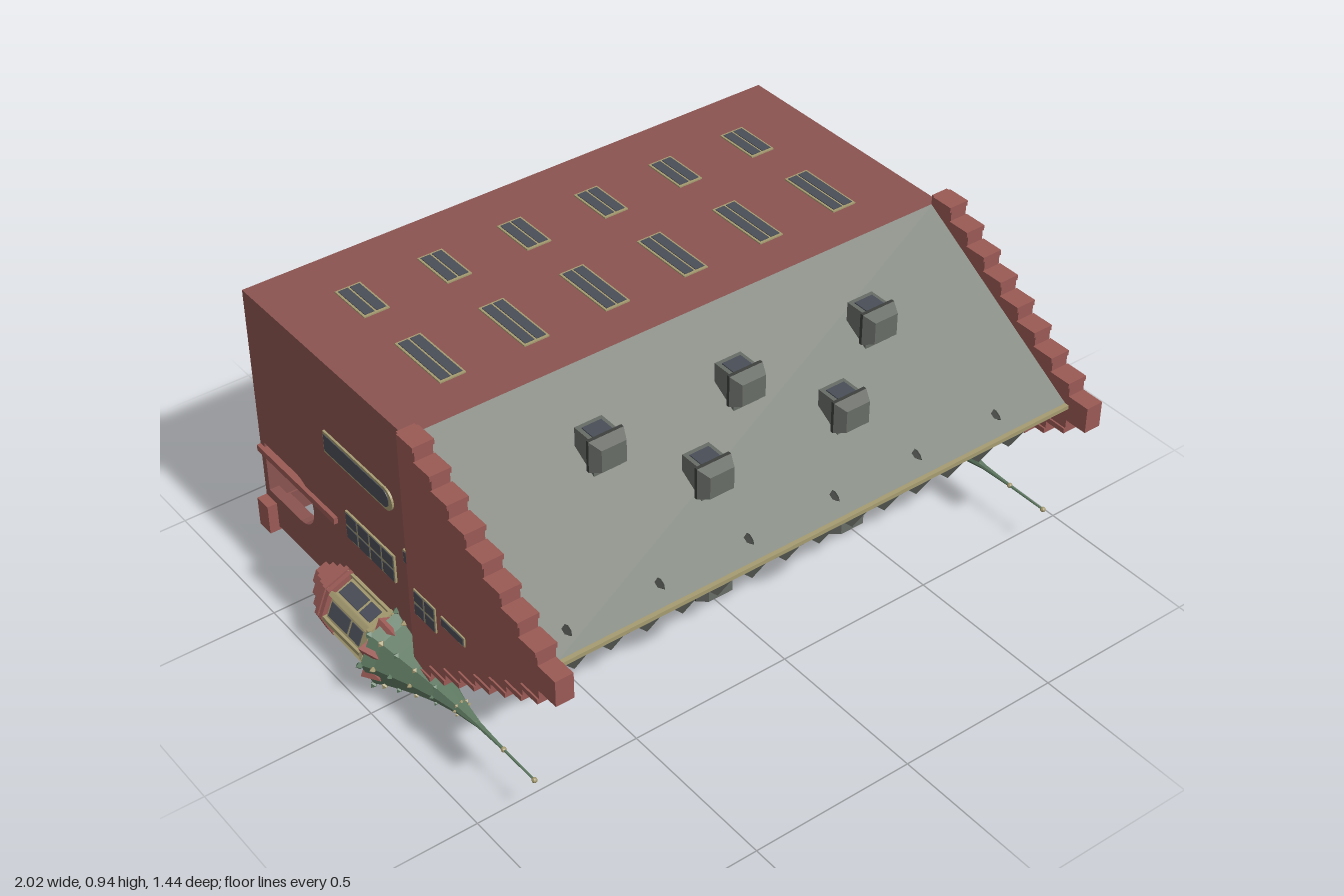
import * as THREE from 'three';

const mat = (color, flat = true) => new THREE.MeshStandardMaterial({ color, flatShading: flat, side: THREE.DoubleSide });
const BRICK = mat(0x8a5450), TRIM = mat(0x9a5a55), ROOF = mat(0x767c72), DARK = mat(0x3d403c);
const TAN = mat(0xa59a70), GLASS = mat(0x4a4e58), COPPER = mat(0x5f7a62);
const DORMER = mat(0x686c66);

function add(parent, name, geo, m) {
  const mesh = new THREE.Mesh(geo, m);
  mesh.name = name;
  parent.add(mesh);
  return mesh;
}
function box(parent, name, m, x0, x1, y0, y1, z0, z1) {
  const mesh = add(parent, name, new THREE.BoxGeometry(Math.abs(x1 - x0), Math.abs(y1 - y0), Math.abs(z1 - z0)), m);
  mesh.position.set((x0 + x1) / 2, (y0 + y1) / 2, (z0 + z1) / 2);
  return mesh;
}
// Extrude a [z, y] outline along x, from x0 to x1
function prism(parent, name, m, pts, x0, x1, holes = []) {
  const shape = new THREE.Shape(pts.map(([z, y]) => new THREE.Vector2(-z, y)));
  holes.forEach(h => shape.holes.push(new THREE.Path(h.map(([z, y]) => new THREE.Vector2(-z, y)))));
  const geo = new THREE.ExtrudeGeometry(shape, { depth: x1 - x0, bevelEnabled: false });
  geo.rotateY(Math.PI / 2).translate(x0, 0, 0);
  return add(parent, name, geo, m);
}
const rect = (z0, z1, y0, y1) => [[z0, y0], [z1, y0], [z1, y1], [z0, y1]];
// Rectangle whose +z end is a half ellipse
function arched(z0, zs, zt, y0, y1) {
  const pts = [[z0, y0]];
  for (let i = 0; i <= 12; i++) {
    const a = -Math.PI / 2 + Math.PI * i / 12;
    pts.push([zs + (zt - zs) * Math.cos(a), (y0 + y1) / 2 + (y1 - y0) / 2 * Math.sin(a)]);
  }
  return [...pts, [z0, y1]];
}

// Framed window lying in an xz wall, around height y
function wallWindow(parent, x, y, z0, z1, w) {
  const g = new THREE.Group();
  g.name = 'wallWindow';
  box(g, 'frame', TAN, x - w / 2, x + w / 2, y - 0.012, y + 0.004, z0, z1);
  for (const s of [-1, 1]) {
    const c = x + s * w * 0.23;
    box(g, 'pane', GLASS, c - w * 0.19, c + w * 0.19, y - 0.016, y + 0.006, z0 + 0.007, z1 - 0.007);
  }
  parent.add(g);
}
// Framed window on the end wall, split into columns and rows
function endWindow(parent, z0, z1, y0, y1, cols, rows, x = 0.87) {
  box(parent, 'endWindowFrame', TAN, x - 0.035, x + 0.006, y0, y1, z0, z1);
  const dz = (z1 - z0) / cols, dy = (y1 - y0) / rows, e = 0.004;
  for (let i = 0; i < cols; i++) for (let j = 0; j < rows; j++)
    box(parent, 'endWindowPane', GLASS, x - 0.037, x + 0.008, y0 + j * dy + e, y0 + (j + 1) * dy - e, z0 + i * dz + e, z0 + (i + 1) * dz - e);
}

function dormer(x, y, z) {
  const g = new THREE.Group();
  g.name = 'dormer';
  box(g, 'dormerBody', DORMER, -0.042, 0.042, -0.11, 0, 0, 0.08);
  box(g, 'dormerWindow', GLASS, -0.03, 0.03, -0.02, 0.003, 0.015, 0.065);
  box(g, 'dormerEaves', DARK, -0.054, 0.054, -0.09, 0.006, 0.066, 0.076);
  const hip = new THREE.CylinderGeometry(0.5, 0.707, 0.034, 4).rotateY(Math.PI / 4).rotateX(Math.PI / 2);
  const cap = add(g, 'dormerRoof', hip, DORMER);
  cap.scale.set(0.108, 0.095, 1);
  cap.position.set(0, -0.042, 0.093);
  g.position.set(x, y, z);
  return g;
}

function buildTurret() {
  const g = new THREE.Group();
  g.name = 'cornerTurret';
  const lathe = (name, m, pts, n) =>
    add(g, name, new THREE.LatheGeometry(pts.map(p => new THREE.Vector2(...p)), n).rotateX(Math.PI / 2), m);
  lathe('turretCorbel', TRIM, [[0, -0.41], [0.045, -0.41], [0.045, -0.37], [0.07, -0.37], [0.07, -0.33], [0.092, -0.33], [0.092, -0.28], [0, -0.28]], 8);
  lathe('turretBody', BRICK, [[0.085, -0.3], [0.09, -0.28], [0.09, -0.06], [0, -0.05]], 8);
  for (const z of [-0.29, -0.27, -0.07, -0.05])
    lathe('turretBand', z < -0.1 ? TRIM : TAN, [[0.085, z - 0.007], [0.108, z - 0.007], [0.108, z + 0.007], [0.085, z + 0.007]], 8);
  // Spire
  const spire = [[0.122, -0.045], [0.103, -0.01], [0.083, 0.04], [0.06, 0.1], [0.038, 0.17], [0.02, 0.25], [0.008, 0.33], [0.004, 0.44], [0.003, 0.57]];
  lathe('spire', COPPER, spire, 8);
  for (const [r, z] of [[0.009, 0.32], [0.008, 0.44], [0.008, 0.575]])
    add(g, 'finial', new THREE.SphereGeometry(r, 8, 6), TAN).position.z = z;
  for (let i = 0; i < 8; i++) {
    const a = (i + 0.5) * Math.PI / 4, side = new THREE.Group();
    side.name = 'turretSide';
    // Tall window on each side, with a gable above
    box(side, 'turretFrame', TAN, -0.03, 0.03, 0.075, 0.091, -0.255, -0.085);
    box(side, 'turretPane', GLASS, -0.022, 0.022, 0.075, 0.094, -0.247, -0.155);
    box(side, 'turretPane', GLASS, -0.022, 0.022, 0.075, 0.094, -0.145, -0.095);
    const gable = add(side, 'turretGable', new THREE.ConeGeometry(0.028, 0.06, 4).rotateX(Math.PI / 2), TRIM);
    gable.position.set(0, 0.1, -0.025);
    side.rotation.z = a;
    g.add(side);
    // Ribs and leaf-like knobs up the spire edges
    const rib = new THREE.Group();
    rib.name = 'spireRib';
    box(rib, 'turretPost', TAN, -0.007, 0.007, 0.086, 0.104, -0.28, -0.06);
    for (let k = 0; k < 6; k++) {
      const knob = add(rib, 'spireKnob', new THREE.OctahedronGeometry(0.012 - k * 0.0012), k % 2 ? TAN : COPPER);
      knob.position.set(0, spire[k][0] + 0.002, spire[k][1]);
    }
    rib.rotation.z = i * Math.PI / 4;
    g.add(rib);
  }
  return g;
}

// One end of the building at +x
function buildEnd() {
  const g = new THREE.Group();
  g.name = 'buildingEnd';
  prism(g, 'endWall', BRICK, rect(-0.72, 0.07, 0.13, 0.9), 0.84, 0.87, [arched(-0.698, -0.53, -0.45, 0.24, 0.405)]);
  // Stepped gable
  const n = 8, dz = 0.57 / n, dy = 0.345 / n, top = [[0.07, 0.93]], low = [[0.07, 0.16]];
  for (let i = 0; i <= n; i++) {
    const z = 0.15 + i * dz, hi = 0.93 - i * dy, lo = 0.16 + i * dy;
    top.push([z, hi], [z, hi - dy]);
    low.push([z, lo], [z, lo + dy]);
    if (i < n) {
      box(g, 'gableStepCap', TRIM, 0.838, 0.902, hi - 0.016, hi, z - dz, z);
      box(g, 'gableStepCap', TRIM, 0.838, 0.902, lo, lo + 0.016, z - dz, z);
    }
  }
  top.pop(); low.pop();
  prism(g, 'steppedGable', TRIM, [...top, ...low.reverse()], 0.843, 0.897);
  // End windows
  prism(g, 'archedWindowFrame', TAN, arched(-0.345, -0.05, -0.015, 0.598, 0.668), 0.835, 0.876);
  prism(g, 'archedWindowPane', GLASS, arched(-0.34, -0.055, -0.03, 0.606, 0.66), 0.833, 0.878);
  endWindow(g, 0.02, 0.058, 0.47, 0.512, 1, 1);
  endWindow(g, -0.265, -0.03, 0.362, 0.452, 4, 2);
  endWindow(g, 0.1, 0.198, 0.365, 0.447, 2, 2, 0.895);
  endWindow(g, 0.225, 0.33, 0.413, 0.443, 1, 1, 0.895);
  box(g, 'stringCourse', TRIM, 0.86, 0.882, 0.37, 0.39, -0.72, -0.32);
  box(g, 'cornerFoot', TRIM, 0.84, 0.9, 0.118, 0.212, -0.72, -0.665);
  const t = buildTurret();
  t.position.set(0.872, 0.13, 0);
  g.add(t);
  return g;
}

export function createModel() {
  const model = new THREE.Group();
  model.name = 'gabledHall';
  const right = buildEnd(), left = buildEnd();
  left.scale.x = -1;
  model.add(right, left);

  // Long walls and the ground slab
  box(model, 'longWall', BRICK, -0.868, 0.868, 0.875, 0.9, -0.72, 0.07);
  box(model, 'arcadeSideWall', BRICK, -0.85, 0.85, 0.17, 0.195, -0.42, 0.07);
  box(model, 'groundSlab', BRICK, -0.868, 0.868, 0.13, 0.41, -0.72, -0.7);
  const shelf = add(model, 'innerWall', new THREE.PlaneGeometry(1.68, 0.77).rotateX(-Math.PI / 2),
    new THREE.MeshStandardMaterial({ color: 0x8a5450 }));
  shelf.position.set(0, 0.36, -0.315);
  for (let i = 0; i < 6; i++) {
    const x = -0.645 + i * 0.257;
    wallWindow(model, x, 0.9, -0.56, -0.415, 0.078);
    wallWindow(model, x, 0.9, -0.27, -0.06, 0.078);
    box(model, 'innerWindow', GLASS, x - 0.04, x + 0.04, 0.361, 0.366, -0.55, -0.42);
    box(model, 'arcadeSideWindow', TAN, x - 0.045, x + 0.045, 0.164, 0.2, -0.23, -0.03);
    box(model, 'arcadeSidePane', GLASS, x - 0.035, x + 0.035, 0.16, 0.203, -0.22, -0.04);
  }

  // Arcade of four arches with curved trims
  const wall = new THREE.Shape([[-0.868, -0.7], [0.868, -0.7], [0.868, -0.4], [-0.868, -0.4]].map(p => new THREE.Vector2(...p)));
  for (const x of [-0.64, -0.215, 0.215, 0.64]) {
    const hole = new THREE.Path(), pts = [];
    hole.moveTo(x - 0.17, -0.695).lineTo(x + 0.17, -0.695).lineTo(x + 0.17, -0.57);
    for (let i = 0; i <= 14; i++) {
      const a = Math.PI * i / 14, u = x + 0.17 * Math.cos(a), v = -0.57 + 0.13 * Math.sin(a);
      if (i) hole.lineTo(u, v);
      pts.push(new THREE.Vector3(u, 0.128, v));
    }
    wall.holes.push(hole);
    add(model, 'archTrim', new THREE.TubeGeometry(new THREE.CatmullRomCurve3(pts), 20, 0.011, 5), TAN);
  }
  const arcade = new THREE.ExtrudeGeometry(wall, { depth: 0.07, bevelEnabled: false }).rotateX(Math.PI / 2);
  add(model, 'arcade', arcade, BRICK).position.y = 0.2;
  for (const x of [-0.43, 0, 0.43]) {
    box(model, 'pierFoot', TRIM, x - 0.035, x + 0.035, 0.1, 0.2, -0.72, -0.665);
    box(model, 'pier', BRICK, x - 0.025, x + 0.025, 0.115, 0.19, -0.67, -0.4);
  }

  // Balcony with brackets
  box(model, 'balconyFloor', BRICK, -0.715, 0.715, 0.07, 0.18, -0.4, -0.375);
  box(model, 'balconyParapet', BRICK, -0.715, 0.715, 0.07, 0.085, -0.4, -0.29);
  for (let i = 0; i < 9; i++) {
    const x = -0.68 + i * 0.17;
    prism(model, 'balconyBracket', TRIM, [[-0.4, 0.08], [-0.4, 0.14], [-0.45, 0.14]], x - 0.015, x + 0.015);
  }

  // Roof slopes, ridge and eaves
  prism(model, 'plainRoof', ROOF, [[0.07, 0.9], [0.645, 0.553], [0.625, 0.545], [0.07, 0.88]], -0.85, 0.85);
  prism(model, 'tiledRoof', DARK, [[0.07, 0.19], [0.07, 0.21], [0.625, 0.55], [0.645, 0.537]], -0.85, 0.85);
  box(model, 'ridge', TAN, -0.845, 0.845, 0.545, 0.557, 0.635, 0.652);
  box(model, 'eaves', TAN, -0.845, 0.845, 0.168, 0.188, 0.045, 0.085);

  // Staggered rows of pointed tiles, tips toward the ridge
  const tiles = new THREE.Group();
  tiles.name = 'pointedTiles';
  const tile = new THREE.ConeGeometry(0.062, 0.12, 4);
  const slope = new THREE.Vector3(0, 0.347, 0.575).normalize();
  for (let r = 0; r < 7; r++) {
    const t = 0.07 + r * 0.135, count = r % 2 ? 15 : 14;
    for (let i = 0; i < count; i++) {
      const m = add(tiles, 'tile', tile, ROOF);
      m.quaternion.setFromUnitVectors(new THREE.Vector3(0, 1, 0), slope);
      m.position.set((i - (count - 1) / 2) * 0.112, 0.19 + 0.347 * t, 0.07 + 0.575 * t);
    }
  }
  model.add(tiles);

  // Dormers on both slopes
  const lowerDormers = new THREE.Group();
  lowerDormers.name = 'lowerDormers';
  for (const [x, y, z] of [[-0.447, 0.855, 0.24], [-0.005, 0.855, 0.24], [0.44, 0.855, 0.24], [-0.225, 0.757, 0.39], [0.22, 0.757, 0.39]]) {
    model.add(dormer(x, y, z));
    lowerDormers.add(dormer(x, y, z));
  }
  lowerDormers.scale.y = -1;
  lowerDormers.position.y = 1.09;
  model.add(lowerDormers);
  for (let i = 0; i < 6; i++) {
    const vent = add(model, 'roofVent', new THREE.ConeGeometry(0.018, 0.03, 4).rotateX(Math.PI / 2), DARK);
    vent.position.set(-0.77 + i * 0.28, 0.583, 0.597);
  }

  // Small gabled windows along the tiled eaves
  for (const x of [-0.44, -0.145, 0.145, 0.44]) {
    box(model, 'eavesWindow', TRIM, x - 0.028, x + 0.028, 0.12, 0.18, -0.02, 0.07);
    box(model, 'eavesWindowFrame', TAN, x - 0.02, x + 0.02, 0.114, 0.14, -0.01, 0.06);
    box(model, 'eavesWindowPane', GLASS, x - 0.014, x + 0.014, 0.11, 0.13, -0.005, 0.053);
    const cap = add(model, 'eavesWindowRoof', new THREE.ConeGeometry(0.042, 0.06, 6).rotateX(Math.PI / 2), COPPER);
    cap.position.set(x, 0.145, 0.1);
  }
  return model;
}
